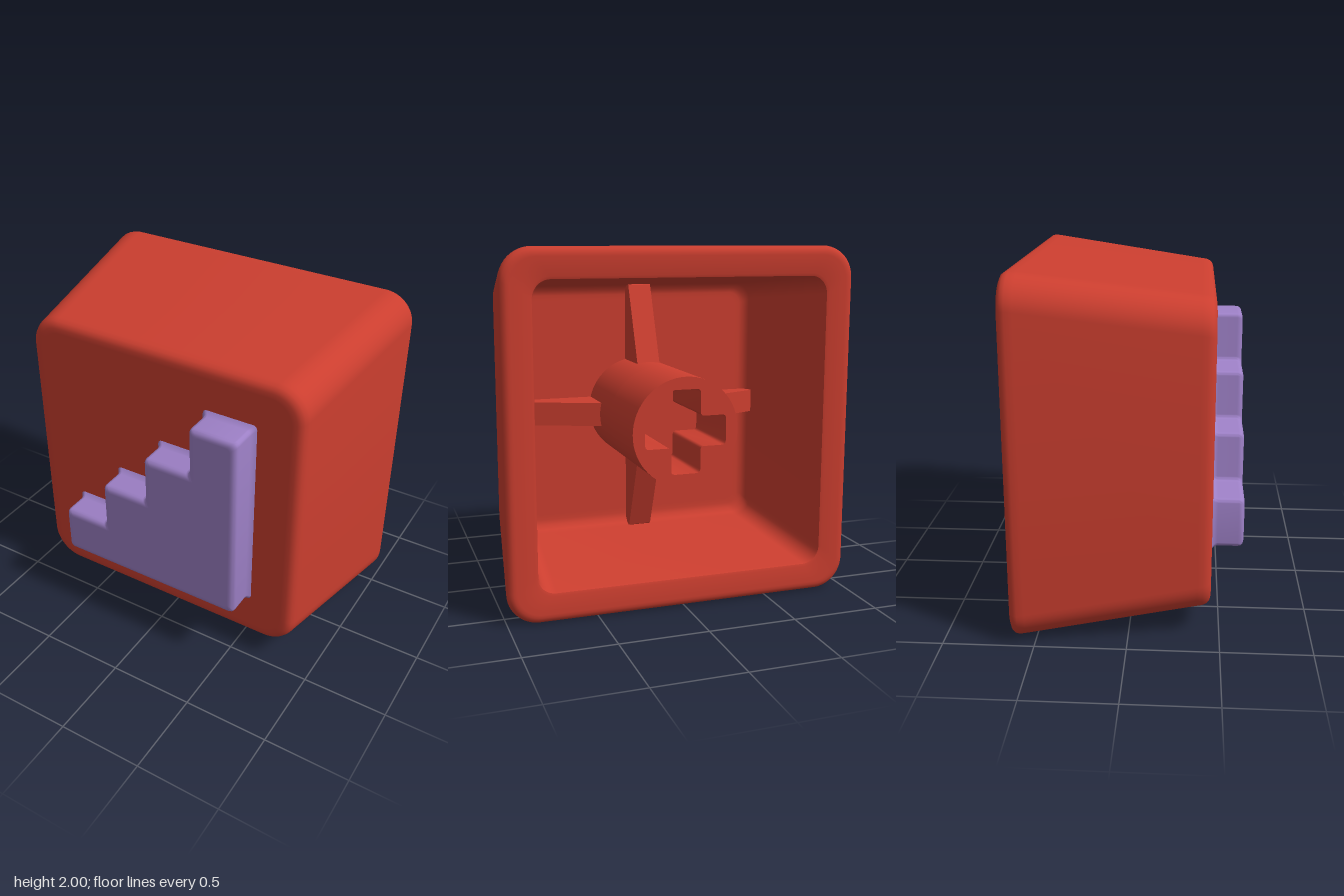
import * as THREE from 'three';
import { toCreasedNormals } from 'three/addons/utils/BufferGeometryUtils.js';

const red = new THREE.MeshStandardMaterial({ color: 0xcb3e2f });
red.name = 'red plastic';
const purple = new THREE.MeshStandardMaterial({ color: 0x9d80c6 });
purple.name = 'purple plastic';

// Rounds every right-angled corner of a counter-clockwise outline
function roundCorners(corners, r, segs) {
  const n = corners.length, out = [];
  corners.forEach((p, i) => {
    const u = p.clone().sub(corners[(i + n - 1) % n]).normalize();
    const v = corners[(i + 1) % n].clone().sub(p).normalize();
    for (let s = 0; s <= segs; s++) {
      const t = (s / segs) * Math.PI / 2;
      out.push(p.clone()
        .addScaledVector(u, r * (Math.sin(t) - 1))
        .addScaledVector(v, r * (1 - Math.cos(t))));
    }
  });
  return out;
}

const toPoints = list => list.map(([x, y]) => new THREE.Vector2(x, y));

function roundedSquare(h, r) {
  return roundCorners(toPoints([[-h, -h], [h, -h], [h, h], [-h, h]]), r, 12);
}

// Skins a list of { loop, z } rings from front to back, with optional end cap
function loft(rings, capEnd, crease) {
  const n = rings[0].loop.length, pos = [], idx = [];
  rings.forEach(({ loop, z }) => loop.forEach(p => pos.push(p.x, p.y, z)));
  for (let i = 0; i < rings.length - 1; i++) {
    for (let j = 0; j < n; j++) {
      const a = i * n + j, b = i * n + (j + 1) % n, c = a + n, d = b + n;
      idx.push(a, c, b, b, c, d);
    }
  }
  for (const [a, b, c] of THREE.ShapeUtils.triangulateShape(rings[0].loop, [])) idx.push(a, b, c);
  if (capEnd) {
    const last = (rings.length - 1) * n;
    for (const [a, b, c] of THREE.ShapeUtils.triangulateShape(rings[rings.length - 1].loop, [])) {
      idx.push(last + a, last + c, last + b);
    }
  }
  const g = new THREE.BufferGeometry();
  g.setAttribute('position', new THREE.Float32BufferAttribute(pos, 3));
  g.setIndex(idx);
  return toCreasedNormals(g, crease);
}

function add(parent, name, geometry, material) {
  const mesh = new THREE.Mesh(geometry, material);
  mesh.name = name;
  parent.add(mesh);
  return mesh;
}

// Staircase outline, grown by d on all sides
function stairs(d) {
  const x = [-0.58, -0.29, 0, 0.29], y = [0.71, 1.0, 1.29, 1.585];
  const pts = [[-0.58 - d, 0.42 - d], [0.58 + d, 0.42 - d], [0.58 + d, 1.585 + d]];
  for (let i = 3; i >= 0; i--) {
    pts.push([x[i] - d, y[i] + d]);
    if (i > 0) pts.push([x[i] - d, y[i - 1] + d]);
  }
  return roundCorners(toPoints(pts), 0.025, 5);
}

export function createModel() {
  const model = new THREE.Group();
  model.name = 'keycap';

  // Hollow cap body, centred on its own axis: [half width, corner radius, z]
  const cap = new THREE.Group();
  cap.name = 'cap';
  cap.position.y = 1;
  model.add(cap);
  const profile = [
    [0.79, 0.13, 0.45], [0.82, 0.15, 0.45], [0.84, 0.165, 0.444], [0.856, 0.175, 0.43],
    [0.866, 0.18, 0.405], [0.87, 0.18, 0.375],                    // front edge
    [0.995, 0.175, -0.55], [1.0, 0.175, -0.59], [0.996, 0.172, -0.61],
    [0.985, 0.165, -0.626], [0.965, 0.15, -0.635], [0.95, 0.14, -0.635],  // back edge
    [0.85, 0.11, -0.635], [0.835, 0.1, -0.63], [0.83, 0.1, -0.615],       // opening
    [0.765, 0.1, 0.2], [0.755, 0.1, 0.24], [0.73, 0.09, 0.265], [0.7, 0.07, 0.27], [0.67, 0.05, 0.27], // cavity
  ];
  const shell = profile.map(([h, r, z]) => ({ loop: roundedSquare(h, r), z }));
  add(cap, 'shell', loft(shell, true, 0.7), red);

  // Stem: socketed end with a cross-shaped hole, then a solid root
  const R = 0.305, a = 0.235, w = 0.085;
  const ring = new THREE.Shape().absarc(0, 0, R, 0, Math.PI * 2, false);
  const cross = toPoints([[a, -w], [a, w], [w, w], [w, a], [-w, a], [-w, w],
    [-a, w], [-a, -w], [-w, -w], [-w, -a], [w, -a], [w, -w]]);
  ring.holes.push(new THREE.Path(roundCorners(cross, 0.02, 3)));
  const socket = new THREE.ExtrudeGeometry(ring, { depth: 0.45, bevelEnabled: false, curveSegments: 32 });
  socket.translate(0, 0, -0.63);
  add(cap, 'stemSocket', toCreasedNormals(socket, 0.6), red);
  const root = new THREE.CylinderGeometry(R, R, 0.48, 64).rotateX(Math.PI / 2).translate(0, 0, 0.06);
  add(cap, 'stemRoot', root, red);

  // Four tapered ribs bracing the stem: drawn as (distance from axis, z)
  const side = new THREE.Shape(toPoints([[0.2, -0.02], [0.3, 0.02], [0.76, 0.2], [0.785, 0.23], [0.785, 0.3], [0.2, 0.3]]));
  const rib = new THREE.ExtrudeGeometry(side, { depth: 0.14, bevelEnabled: false });
  rib.translate(0, 0, -0.07).rotateX(Math.PI / 2);
  for (let i = 0; i < 4; i++) add(cap, 'rib', rib, red).rotation.z = i * Math.PI / 2;

  // Raised staircase with rounded front edges and a small flare at its base
  const relief = [
    [-0.04, 0.633], [-0.028, 0.633], [-0.012, 0.628], [-0.003, 0.616], [0, 0.6],
    [0, 0.485], [0.004, 0.468], [0.014, 0.455], [0.022, 0.445],
  ].map(([d, z]) => ({ loop: stairs(d), z }));
  add(model, 'staircase', loft(relief, false, 0.7), purple);

  return model;
}
